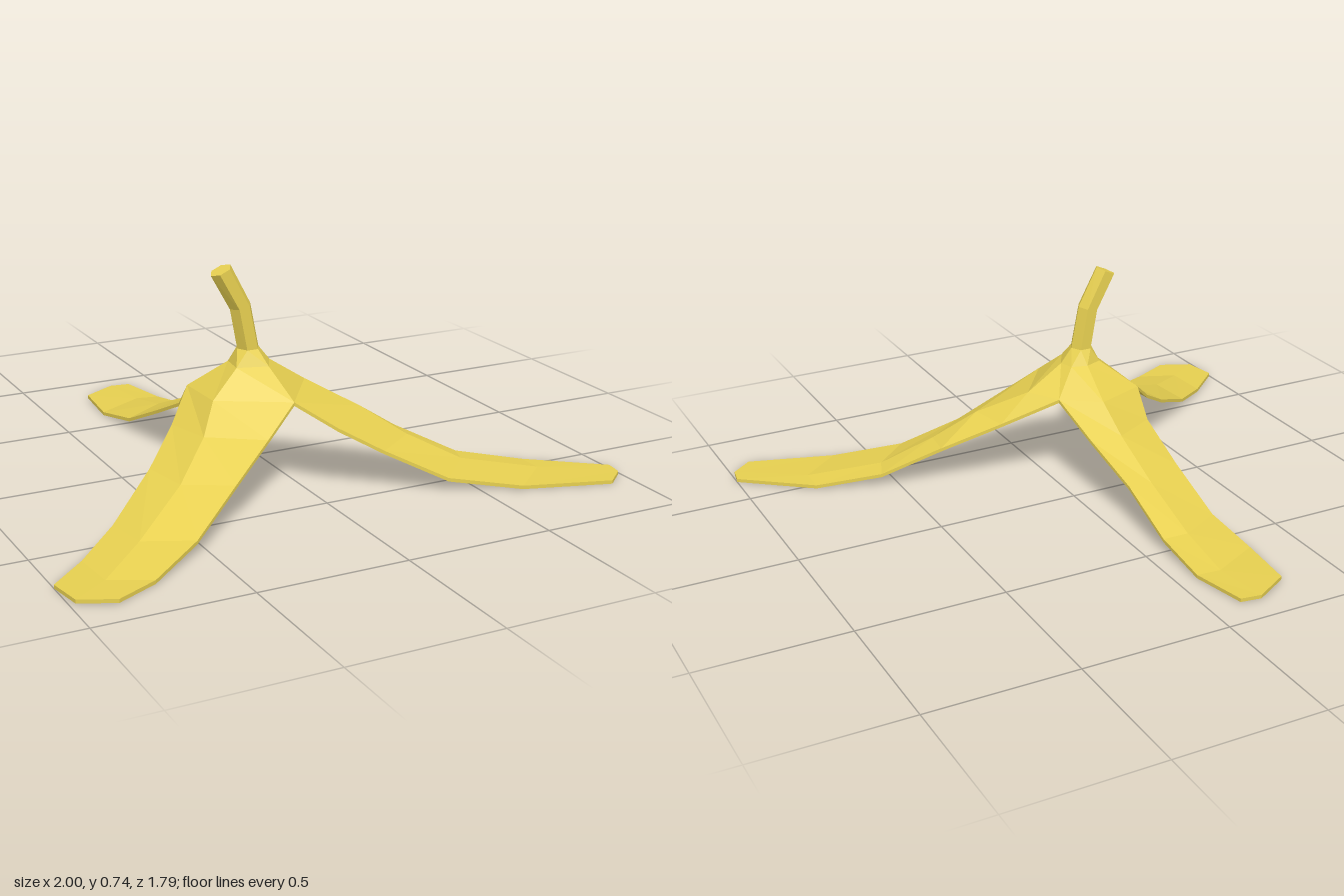
import * as THREE from 'three';

const THICK = 0.012;
const EDGE_Y = [0.32, 0.23, 0.142, 0.047, 0.012, 0.012]; // heights along the flap edges
const MID_Y = [0.325, 0.24, 0.142, 0.052, 0.014, 0.012]; // heights along the flap ridge

// Each flap: three rails of [x, z] points running from crown to tip, edge - ridge - edge
const FLAPS = {
  leftFlap: [
    [[0, 0.11], [0.18, 0.2], [0.37, 0.29], [0.56, 0.38], [0.77, 0.47], [1, 0.65]],
    [[0.07, 0.21], [0.22, 0.32], [0.36, 0.39], [0.53, 0.46], [0.77, 0.56], [0.99, 0.71]],
    [[-0.07, 0.405], [0.06, 0.46], [0.21, 0.5], [0.4, 0.59], [0.63, 0.68], [0.92, 0.77]],
  ],
  rightFlap: [
    [[-0.07, 0.405], [-0.19, 0.46], [-0.35, 0.56], [-0.54, 0.69], [-0.73, 0.82], [-0.87, 0.89]],
    [[-0.3, 0.29], [-0.37, 0.37], [-0.5, 0.48], [-0.7, 0.63], [-0.86, 0.76], [-0.98, 0.84]],
    [[-0.3, 0.09], [-0.4, 0.19], [-0.53, 0.31], [-0.72, 0.47], [-0.87, 0.6], [-1, 0.72]],
  ],
  backFlap: [
    [[-0.3, 0.09], [-0.29, 0], [-0.29, -0.2], [-0.3, -0.42], [-0.32, -0.62], [-0.3, -0.83]],
    [[-0.12, 0.01], [-0.13, -0.1], [-0.14, -0.29], [-0.15, -0.51], [-0.15, -0.71], [-0.18, -0.9]],
    [[0, 0.11], [-0.03, -0.07], [-0.06, -0.28], [-0.065, -0.5], [-0.07, -0.7], [-0.11, -0.89]],
  ],
};

const down = (p) => [p[0], Math.max(0, p[1] - THICK), p[2]];

// Collects faces and turns them into a flat-shaded mesh
function faceted(name, material, build) {
  const pos = [];
  const tri = (a, b, c) => pos.push(...a, ...b, ...c);
  const quad = (a, b, c, d) => { tri(a, b, c); tri(a, c, d); };
  build(quad, tri);
  const geo = new THREE.BufferGeometry();
  geo.setAttribute('position', new THREE.Float32BufferAttribute(pos, 3));
  geo.computeVertexNormals();
  const mesh = new THREE.Mesh(geo, material);
  mesh.name = name;
  return mesh;
}

// Outer face plus the matching inner face of the peel
function skin(quad, a, b, c, d) {
  quad(a, b, c, d);
  quad(down(d), down(c), down(b), down(a));
}

// Tilted six-sided ring of the stem
function hexRing(x, y, r, tilt) {
  return Array.from({ length: 6 }, (_, i) => {
    const a = (i * Math.PI) / 3;
    const dx = r * Math.cos(a);
    return [x + dx, y + dx * tilt, 0.21 + r * 1.1 * Math.sin(a)];
  });
}

export function createModel() {
  const group = new THREE.Group();
  const material = new THREE.MeshStandardMaterial({ color: 0xe6cf50, flatShading: true });

  // Three peeled flaps lying on the ground
  const starts = [];
  for (const [name, rails] of Object.entries(FLAPS)) {
    const rows = EDGE_Y.map((y, r) => rails.map((rail, i) =>
      [rail[r][0], i === 1 ? MID_Y[r] : y, rail[r][1]]));
    starts.push(rows[0]);
    group.add(faceted(name, material, (quad) => {
      for (let r = 0; r < rows.length - 1; r++) {
        const u = rows[r], l = rows[r + 1];
        for (let i = 0; i < 2; i++) skin(quad, l[i], u[i], u[i + 1], l[i + 1]);
        // thin side rims
        quad(u[0], l[0], down(l[0]), down(u[0]));
        quad(l[2], u[2], down(u[2]), down(l[2]));
      }
      // tip rim
      const t = rows[rows.length - 1];
      for (let i = 0; i < 2; i++) quad(t[i], t[i + 1], down(t[i + 1]), down(t[i]));
    }));
  }

  const stemRings = [
    hexRing(-0.138, 0.46, 0.038, 0),
    hexRing(-0.165, 0.6, 0.036, 0.2),
    hexRing(-0.233, 0.725, 0.034, 0.45),
  ];

  // Crown joining the flaps to the stem: ridges and splits alternate around it
  const skirt = starts.flatMap((row) => [row[1], row[2]]);
  const neck = [[-0.06, 0.21], [-0.1, 0.285], [-0.2, 0.255], [-0.19, 0.17], [-0.13, 0.145], [-0.075, 0.16]]
    .map(([x, z]) => [x, 0.41, z]);
  group.add(faceted('crown', material, (quad, tri) => {
    for (let i = 0; i < 6; i++) {
      const j = (i + 1) % 6;
      skin(quad, skirt[i], neck[i], neck[j], skirt[j]);
      quad(neck[i], stemRings[0][i], stemRings[0][j], neck[j]);
      tri(down(neck[i]), down(neck[j]), [-0.13, 0.398, 0.21]); // inner roof
    }
  }));

  // Bent stem with a cut end
  group.add(faceted('stem', material, (quad, tri) => {
    for (let i = 0; i < 6; i++) {
      const j = (i + 1) % 6;
      for (let r = 0; r < 2; r++) {
        quad(stemRings[r][i], stemRings[r + 1][i], stemRings[r + 1][j], stemRings[r][j]);
      }
      tri(stemRings[2][j], stemRings[2][i], [-0.233, 0.725, 0.21]);
    }
  }));

  return group;
}
